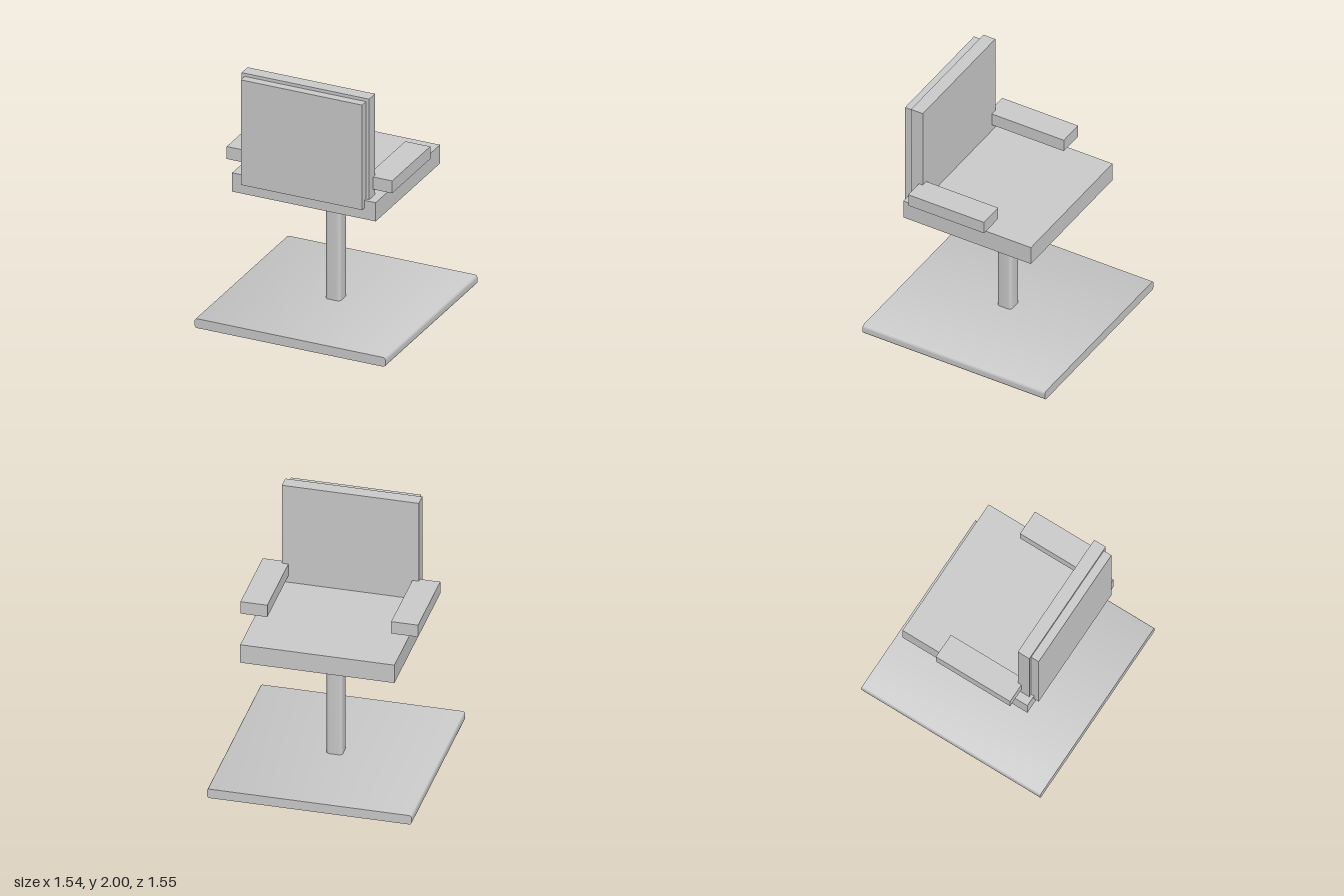
import * as THREE from 'three';
import { toCreasedNormals } from 'three/addons/utils/BufferGeometryUtils.js';

const material = new THREE.MeshStandardMaterial({ color: 0xcccccc });

// Box given by its min and max along each axis
function slab(name, [x0, x1], [y0, y1], [z0, z1]) {
  const mesh = new THREE.Mesh(new THREE.BoxGeometry(x1 - x0, y1 - y0, z1 - z0), material);
  mesh.position.set((x0 + x1) / 2, (y0 + y1) / 2, (z0 + z1) / 2);
  mesh.name = name;
  return mesh;
}

// Rounded rectangle extruded along z, centred on the origin
function roundedBar(name, width, height, length, r) {
  const w = width / 2 - r, h = height / 2 - r, q = Math.PI / 2;
  const shape = new THREE.Shape();
  [[w, h], [-w, h], [-w, -h], [w, -h]].forEach(([x, y], i) => {
    shape.absarc(x, y, r, i * q, (i + 1) * q, false);
  });
  shape.closePath();
  const geometry = new THREE.ExtrudeGeometry(shape, { depth: length, bevelEnabled: false, curveSegments: 6 });
  geometry.translate(0, 0, -length / 2);
  const mesh = new THREE.Mesh(toCreasedNormals(geometry, 0.6), material);
  mesh.name = name;
  return mesh;
}

export function createModel() {
  const model = new THREE.Group();
  model.name = 'chair';

  // Floor plate, its two side edges rounded
  const base = roundedBar('base', 1.54, 0.075, 1.546, 0.02);
  base.position.y = 0.0375;

  // Upright post with rounded corners
  const post = roundedBar('post', 0.122, 0.122, 0.875, 0.025);
  post.rotation.x = -Math.PI / 2;
  post.position.y = 0.5;

  // Seat on its mounting plate, and the two-layer backrest
  model.add(
    base,
    post,
    slab('mountingPlate', [-0.385, 0.385], [0.933, 1.037], [-0.32, 0.32]),
    slab('seat', [-0.58, 0.58], [1.037, 1.188], [-0.54, 0.54]),
    slab('backrest', [-0.515, 0.515], [1.188, 2], [0.415, 0.515]),
    slab('backPanel', [-0.49, 0.49], [1.127, 1.975], [0.515, 0.58])
  );

  // Armrests
  for (const side of [-1, 1]) {
    const x = side < 0 ? [-0.668, -0.466] : [0.466, 0.668];
    model.add(slab(side < 0 ? 'rightArmrest' : 'leftArmrest', x, [1.242, 1.342], [-0.195, 0.447]));
  }
  return model;
}
